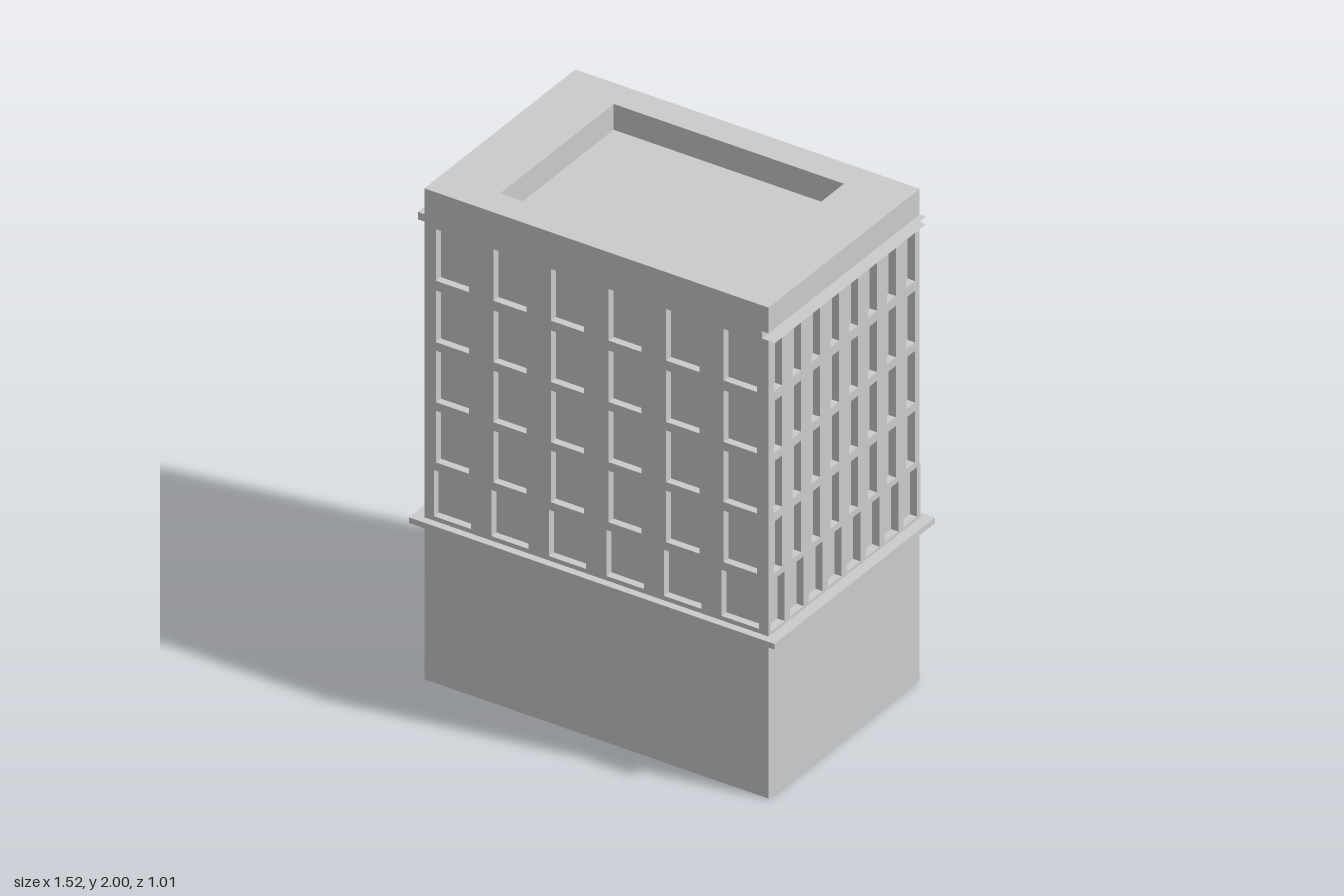
import * as THREE from 'three';

const X = 0.718, Z = 0.475, T = 0.03; // half width, half depth, window recess
const material = new THREE.MeshStandardMaterial({ color: 0xcccccc, flatShading: true });
const sheetMaterial = new THREE.MeshStandardMaterial({ color: 0xcccccc, side: THREE.DoubleSide });

// Box given by its minimum and maximum corners
function block(name, x0, y0, z0, x1, y1, z1) {
  const mesh = new THREE.Mesh(new THREE.BoxGeometry(x1 - x0, y1 - y0, z1 - z0), material);
  mesh.position.set((x0 + x1) / 2, (y0 + y1) / 2, (z0 + z1) / 2);
  mesh.name = name;
  return mesh;
}

function rect(path, x0, y0, x1, y1) {
  path.moveTo(x0, y0);
  path.lineTo(x1, y0);
  path.lineTo(x1, y1);
  path.lineTo(x0, y1);
  path.closePath();
  return path;
}

// Slab with rectangular openings; its outer face lies at local z = 0
function slab(name, half, y0, y1, depth, openings) {
  const shape = rect(new THREE.Shape(), -half, y0, half, y1);
  for (const o of openings) shape.holes.push(rect(new THREE.Path(), ...o));
  const geometry = new THREE.ExtrudeGeometry(shape, { depth, bevelEnabled: false });
  geometry.translate(0, 0, -depth);
  const mesh = new THREE.Mesh(geometry, material);
  mesh.name = name;
  return mesh;
}

// Row of evenly spaced openings, centred on the wall
function row(count, pitch, width, y0, y1) {
  return Array.from({ length: count }, (_, i) => {
    const c = (i - (count - 1) / 2) * pitch;
    return [c - width / 2, y0, c + width / 2, y1];
  });
}

export function createModel() {
  const building = new THREE.Group();
  building.name = 'building';

  // Plain base and the ledge above it
  building.add(block('base', -X, 0, -Z, X, 0.65, Z));
  building.add(block('ledge', -0.762, 0.637, -0.505, 0.762, 0.66, 0.505));

  // Cores behind the windows; the first floor is recessed deeper at the back
  const yLow = 0.65, yMid = 0.88, yTop = 1.865, backDepth = 0.06;
  building.add(block('firstFloorCore', -X + T, yLow, -Z - 0.005 + backDepth, X - T, yMid, Z - T));
  building.add(block('upperCore', -X + T, yMid, -Z + T, X - T, yTop, Z - T));

  // Window openings
  const floors = [0.9, 1.145, 1.39, 1.64];
  const wideLow = row(6, 0.24, 0.155, 0.678, 0.866);
  const narrowLow = row(8, 0.119, 0.085, 0.672, 0.875);
  const wideHigh = floors.flatMap(y => row(6, 0.24, 0.138, y, y + 0.21));
  const narrowHigh = floors.flatMap(y => row(8, 0.119, 0.055, y, y + 0.21));

  // Front and back walls fit between the side walls
  const inner = X - T;
  building.add(
    slab('frontFirstFloorWall', inner, yLow, yMid, T, wideLow),
    slab('frontUpperWall', inner, yMid, yTop, T, wideHigh));
  building.children.slice(-2).forEach(m => { m.position.z = Z; });

  const backLow = slab('backFirstFloorWall', X, yLow, yMid, 0.005, wideLow);
  const backLowInner = slab('backFirstFloorReveal', inner, yLow, yMid, backDepth - 0.005, wideLow);
  const backHigh = slab('backUpperWall', inner, yMid, yTop, T, wideHigh);
  for (const m of [backLow, backLowInner, backHigh]) {
    m.rotation.y = Math.PI;
    m.position.z = m === backLow ? -Z - 0.005 : -Z;
    building.add(m);
  }

  for (const side of [-1, 1]) {
    const label = side > 0 ? 'left' : 'right';
    for (const m of [
      slab(label + 'FirstFloorWall', Z, yLow, yMid, T, narrowLow),
      slab(label + 'UpperWall', Z, yMid, yTop, T, narrowHigh),
    ]) {
      m.rotation.y = side * Math.PI / 2;
      m.position.x = side * X;
      building.add(m);
    }
  }

  // Cornice band: projecting on one side, a groove on the other
  const yCrown = 1.895;
  building.add(block('corniceBand', -X, yTop, -Z, 0.69, yCrown, Z));
  building.add(block('cornice', -0.745, yTop, -Z, -X, yCrown, Z));

  // Thin lips above and below the groove
  for (const y of [yTop, yCrown]) {
    const lip = new THREE.Mesh(new THREE.PlaneGeometry(0.745 - X, 2 * Z), sheetMaterial);
    lip.rotation.x = -Math.PI / 2;
    lip.position.set((0.745 + X) / 2, y, 0);
    lip.name = 'grooveLip';
    building.add(lip);
  }

  // Parapet around the sunken roof
  const roof = rect(new THREE.Shape(), -X, -Z, X, Z);
  roof.holes.push(rect(new THREE.Path(), -0.48, -0.357, 0.48, 0.357));
  const parapet = new THREE.Mesh(
    new THREE.ExtrudeGeometry(roof, { depth: 2 - yCrown, bevelEnabled: false }), material);
  parapet.rotation.x = -Math.PI / 2;
  parapet.position.y = yCrown;
  parapet.name = 'parapet';
  building.add(parapet);

  return building;
}
